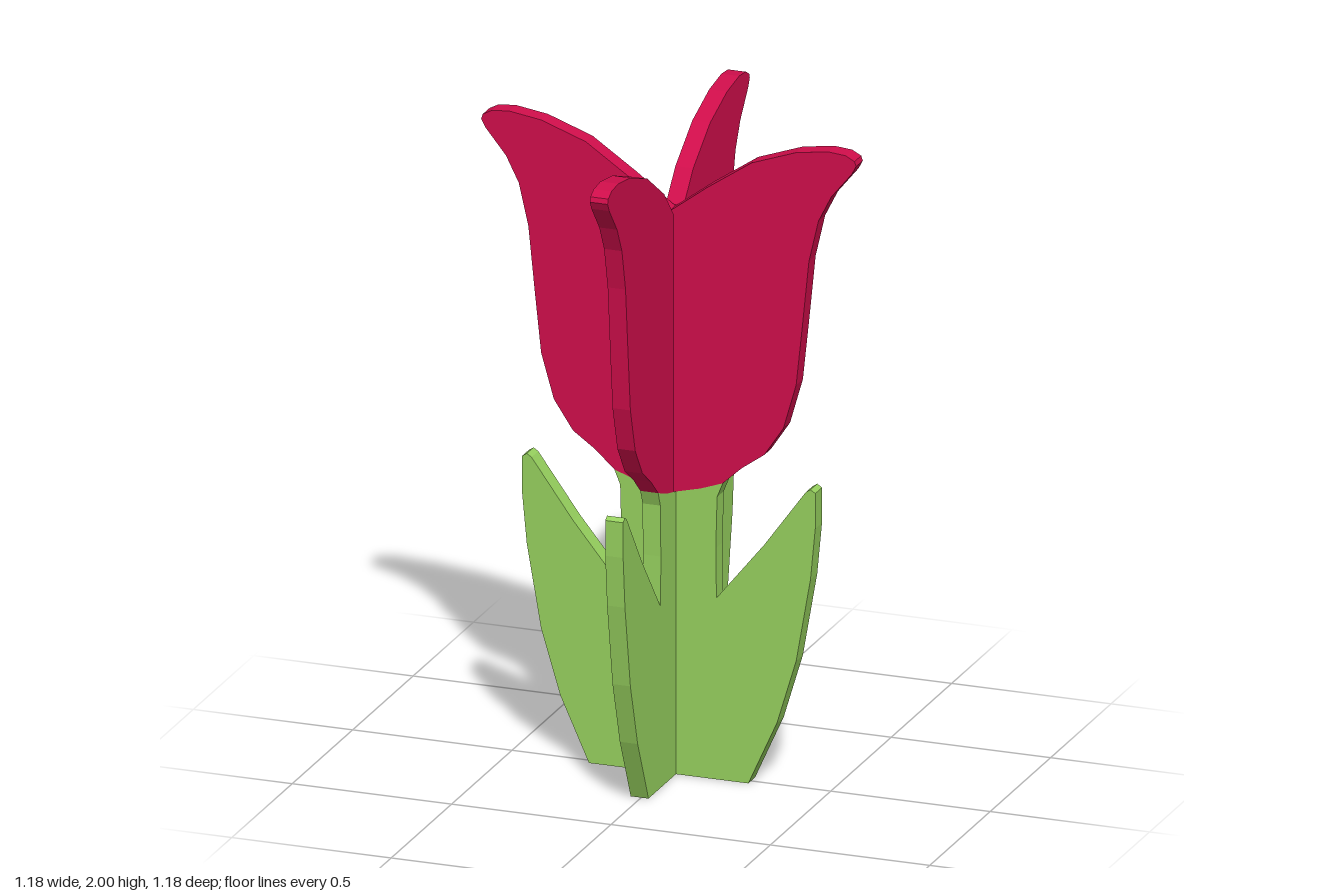
import * as THREE from 'three';

const THICKNESS = 0.056;
const OFFSET = -0.033;
const SLOT = 0.041; // half-width of the slot between the split petals

const red = new THREE.MeshStandardMaterial({ color: 0xd00e4b });
const green = new THREE.MeshStandardMaterial({ color: 0x96d05e });

// Outer edge of one petal, from the bottom centre up to the top centre
const petalEdge = [
  [0.10, 0.90], [0.17, 0.925], [0.23, 0.98], [0.30, 1.03], [0.36, 1.12],
  [0.40, 1.26], [0.42, 1.45], [0.44, 1.65], [0.47, 1.78], [0.51, 1.86],
  [0.575, 1.94], [0.588, 1.965], [0.583, 1.98], [0.555, 1.995], [0.50, 2.0],
  [0.40, 1.985], [0.26, 1.935], [0.12, 1.84],
];

// Leaf and stem edge, from the ground up to the underside of the petals
const leafEdge = [
  [0.25, 0], [0.34, 0.20], [0.40, 0.40], [0.445, 0.66], [0.46, 0.82],
  [0.46, 0.93], [0.445, 0.94], [0.43, 0.93], [0.30, 0.75], [0.15, 0.565],
  [0.148, 0.72], [0.152, 0.88], [0.17, 0.925], [0.10, 0.90],
];

const mirror = (points) => points.map(([x, y]) => [-x, y]).reverse();

function panel(name, points, material) {
  const shape = new THREE.Shape(points.map(([x, y]) => new THREE.Vector2(x, y)));
  const geometry = new THREE.ExtrudeGeometry(shape, { depth: THICKNESS, bevelEnabled: false });
  geometry.translate(0, 0, OFFSET);
  const mesh = new THREE.Mesh(geometry, material);
  mesh.name = name;
  return mesh;
}

function leafPanel() {
  return panel('stemAndLeaves', [...leafEdge, [0, 0.875], ...mirror(leafEdge)], green);
}

export function createModel() {
  const model = new THREE.Group();
  model.name = 'tulip';

  // Side-to-side panel with an unbroken pair of petals
  const wide = new THREE.Group();
  wide.name = 'sidePanel';
  wide.add(
    leafPanel(),
    panel('petalPair', [[0, 0.875], ...petalEdge, [0, 1.75], ...mirror(petalEdge)], red),
  );

  // Front-to-back panel whose petals are split by a slot
  const deep = new THREE.Group();
  deep.name = 'frontBackPanel';
  const half = [[SLOT, 0.885], ...petalEdge, [SLOT, 1.75]];
  deep.add(leafPanel(), panel('backPetal', half, red), panel('frontPetal', mirror(half), red));
  deep.rotation.y = Math.PI / 2;

  model.add(wide, deep);
  return model;
}
